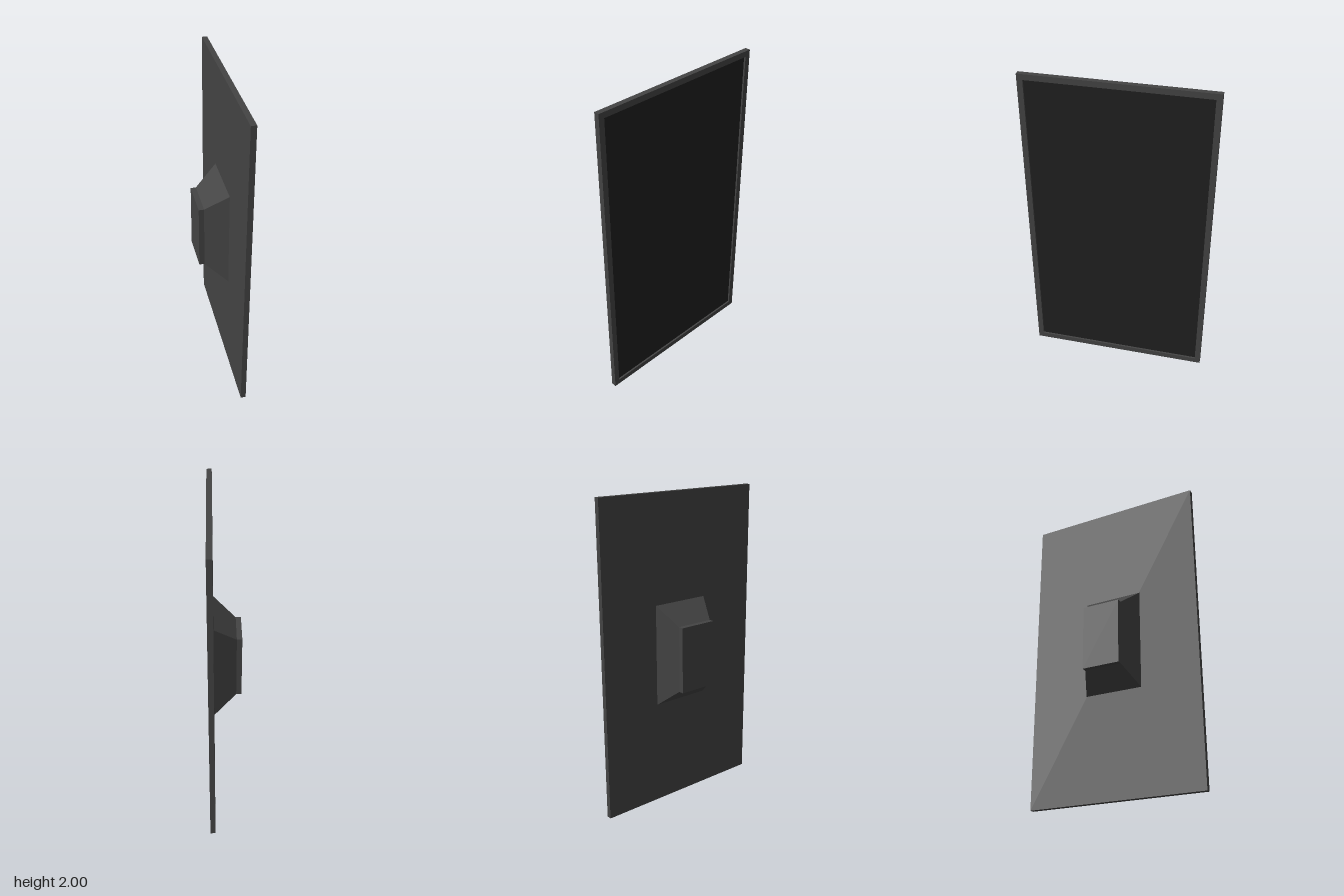
import * as THREE from 'three';

const casing = new THREE.MeshStandardMaterial({ color: 0x444444 });
casing.name = 'charcoal casing';
const glass = new THREE.MeshStandardMaterial({ color: 0x202020 });
glass.name = 'dark screen';

// Box given by its x range, height and depth, centred at y = 1
function slab(name, x0, x1, height, depth, material) {
  const mesh = new THREE.Mesh(new THREE.BoxGeometry(x1 - x0, height, depth), material);
  mesh.name = name;
  mesh.position.set((x0 + x1) / 2, 1, 0);
  return mesh;
}

function rectangle(PathType, w, h) {
  const p = new PathType();
  p.moveTo(-w, -h);
  p.lineTo(w, -h);
  p.lineTo(w, h);
  p.lineTo(-w, h);
  p.closePath();
  return p;
}

export function createModel() {
  const group = new THREE.Group();
  group.name = 'wallDisplay';

  // Back panel and the recessed screen in front of it
  group.add(slab('backPanel', 0.07, 0.088, 2, 1.15, casing));
  group.add(slab('screen', 0.088, 0.092, 1.93, 1.08, glass));

  // Raised border around the screen
  const border = rectangle(THREE.Shape, 0.575, 1);
  border.holes.push(rectangle(THREE.Path, 0.54, 0.965));
  const bezelGeometry = new THREE.ExtrudeGeometry(border, { depth: 0.015, bevelEnabled: false });
  bezelGeometry.rotateY(Math.PI / 2);
  const bezel = new THREE.Mesh(bezelGeometry, casing);
  bezel.name = 'bezel';
  bezel.position.set(0.088, 1, 0);
  group.add(bezel);

  // Tapered wall mount: the end away from the panel is narrowed
  const mount = slab('mountTaper', -0.07, 0.07, 0.65, 0.38, casing);
  const p = mount.geometry.attributes.position;
  for (let i = 0; i < p.count; i++) {
    if (p.getX(i) < 0) {
      p.setY(i, Math.sign(p.getY(i)) * 0.21);
      p.setZ(i, Math.sign(p.getZ(i)) * 0.123);
    }
  }
  mount.geometry = mount.geometry.toNonIndexed();
  mount.geometry.computeVertexNormals();
  group.add(mount);

  // Straight block that meets the wall
  group.add(slab('mountPlate', -0.103, -0.07, 0.42, 0.246, casing));

  return group;
}
